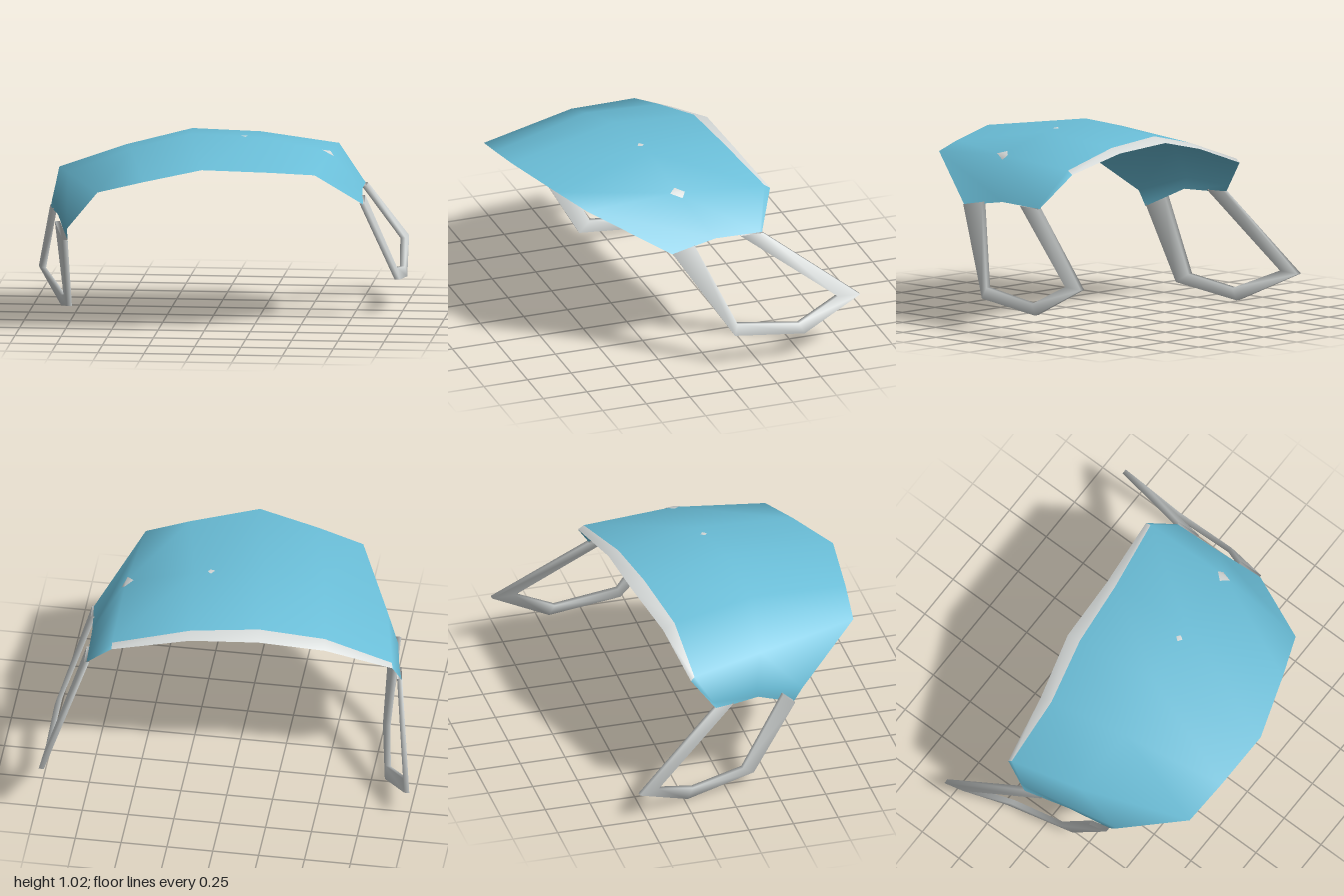
import * as THREE from 'three';

const fabric = new THREE.MeshStandardMaterial({ color: 0x6bbfd9, side: THREE.DoubleSide });
fabric.name = 'blue fabric';
const elastic = new THREE.MeshStandardMaterial({ color: 0xd6dad9, side: THREE.DoubleSide });
elastic.name = 'pale grey elastic';

const v = (p) => new THREE.Vector3(...p);

function build(name, points, index, material) {
  const geometry = new THREE.BufferGeometry().setFromPoints(points);
  geometry.setIndex(index);
  geometry.computeVertexNormals();
  const mesh = new THREE.Mesh(geometry, material);
  mesh.name = name;
  return mesh;
}

// Cross-sections from the -x end to the +x end: front, crest and back point
const sections = [
  [[-0.75, 0.46, 0.39], [-0.825, 0.57, 0.17], [-0.89, 0.57, -0.08]],
  [[-0.75, 0.54, 0.44], [-0.835, 0.63, 0.16], [-0.885, 0.61, -0.11]],
  [[-0.55, 0.8, 0.78], [-0.77, 0.81, 0.2], [-0.86, 0.75, -0.215]],
  [[-0.3, 0.865, 0.805], [-0.42, 0.95, 0.24], [-0.5, 0.87, -0.27]],
  [[0.02, 0.94, 0.825], [-0.1, 1.03, 0.2], [-0.15, 0.95, -0.355]],
  [[0.38, 0.91, 0.7], [0.27, 1.005, 0.13], [0.22, 0.935, -0.375]],
  [[0.61, 0.885, 0.61], [0.64, 0.925, 0.1], [0.64, 0.87, -0.43]],
  [[0.83, 0.66, 0.2], [0.8, 0.7, -0.06], [0.79, 0.69, -0.33]],
].map((s) => s.map(v));
// How far back from the crest the pale hem starts
const hemStart = [0.9, 0.95, 0.95, 0.87, 0.86, 0.89, 0.94, 0.95];

// Curved mask shell with a pale hem along the back edge
function maskShell() {
  const points = [];
  sections.forEach(([front, crest, back], i) => {
    const hem = crest.clone().lerp(back, hemStart[i]);
    if (i > 1 && i < 7) hem.y += 0.018;
    points.push(front, crest, hem, back);
  });
  const blue = [], pale = [];
  for (let i = 0; i < sections.length - 1; i++) {
    for (let j = 0; j < 3; j++) {
      const a = i * 4 + j, b = a + 4;
      const target = j === 2 && i >= 2 && i <= 5 ? pale : blue;
      target.push(a, b, b + 1, a, b + 1, a + 1);
    }
  }
  const mesh = build('maskShell', points, [...blue, ...pale], [fabric, elastic]);
  mesh.geometry.addGroup(0, blue.length, 0);
  mesh.geometry.addGroup(blue.length, pale.length, 1);
  return mesh;
}

// Small pale patch that follows the shell around a centre point
function patch(name, centre, neighbours, radius) {
  const points = [centre.clone()];
  for (const n of neighbours) {
    points.push(n.clone().sub(centre).setLength(radius).add(centre));
  }
  points.forEach((p) => { p.y += 0.005; });
  return build(name, points, [0, 1, 2, 0, 2, 3, 0, 3, 4, 0, 4, 1], elastic);
}

// Ear loop: a thin band between an outer and an inner path
function earLoop(name, outer, inner, half) {
  const points = [], index = [];
  outer.forEach((o, k) => {
    const n = inner[k];
    for (const [p, s] of [[o, 1], [n, 1], [n, -1], [o, -1]]) {
      points.push(new THREE.Vector3(p[0] + s * half, p[1], p[2]));
    }
  });
  for (let k = 0; k < outer.length - 1; k++) {
    for (let s = 0; s < 4; s++) {
      const a = k * 4 + s, b = k * 4 + (s + 1) % 4;
      index.push(a, a + 4, b, b, a + 4, b + 4);
    }
  }
  return build(name, points, index, elastic);
}

export function createModel() {
  const model = new THREE.Group();
  model.name = 'faceMask';
  model.add(maskShell());

  const crest = sections.map((s) => s[1]);
  const [front, mid, back] = sections[6];
  model.add(patch('sidePatch', mid, [crest[7], back, crest[5], front], 0.042));
  const centre = crest[4].clone().lerp(crest[5], 0.76);
  model.add(patch('topPatch', centre, [crest[5], sections[5][2], crest[4], sections[5][0]], 0.02));

  model.add(earLoop('leftEarLoop',
    [[0.825, 0.665, 0.2], [0.985, 0.2, -0.1], [0.985, 0.15, -0.5], [0.962, 0.32, -0.825], [0.79, 0.69, -0.33]],
    [[0.815, 0.69, 0.07], [0.97, 0.26, -0.12], [0.975, 0.21, -0.47], [0.955, 0.325, -0.7], [0.795, 0.695, -0.2]],
    0.014));
  model.add(earLoop('rightEarLoop',
    [[-0.765, 0.47, 0.39], [-0.765, 0.07, 0.16], [-0.835, 0.005, -0.23], [-0.988, 0.165, -0.54], [-0.88, 0.58, -0.085]],
    [[-0.815, 0.56, 0.31], [-0.79, 0.12, 0.09], [-0.835, 0.07, -0.2], [-0.965, 0.175, -0.43], [-0.86, 0.58, 0.02]],
    0.014));
  return model;
}
